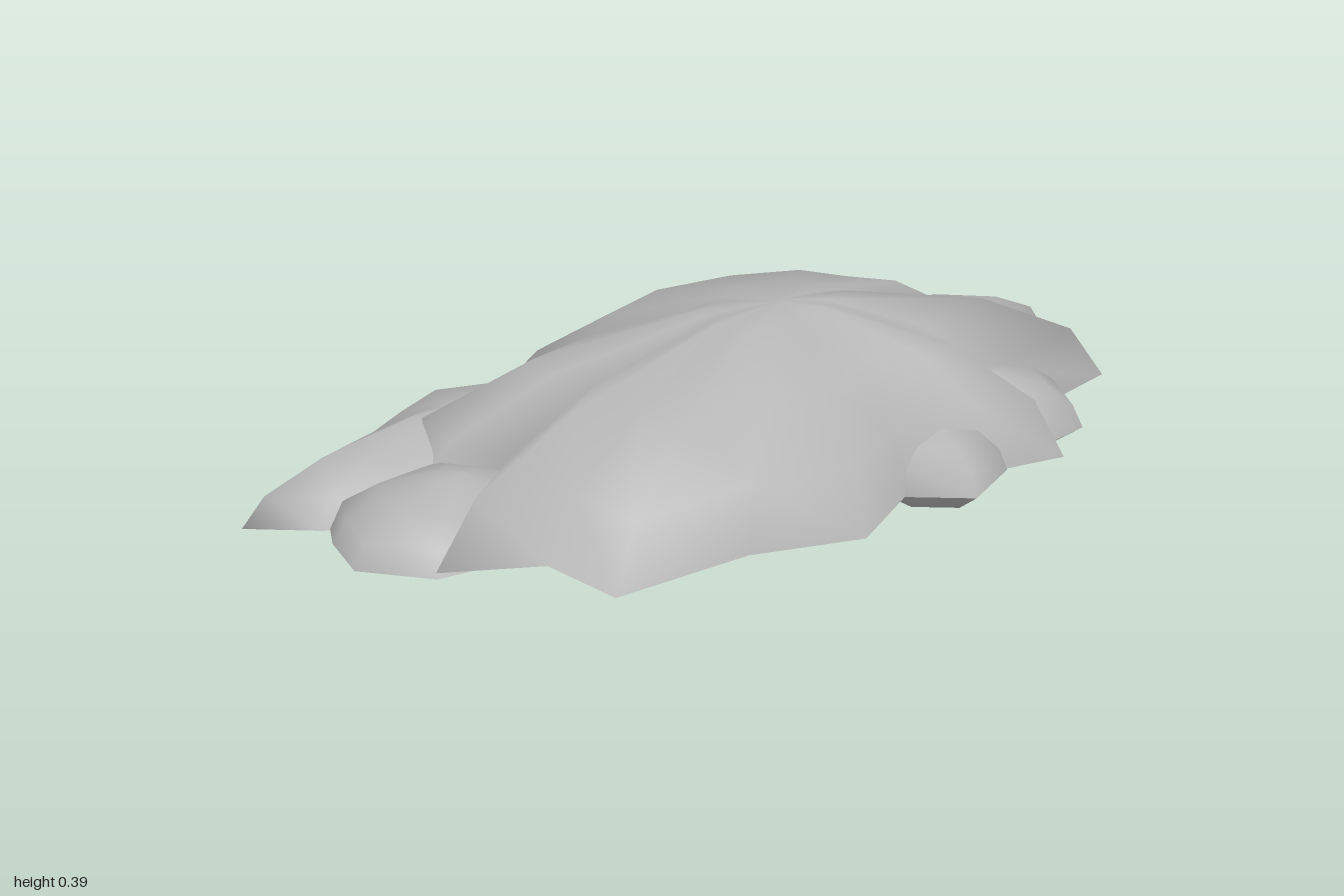
import * as THREE from 'three';

// Height profile shared by every lobe: [distance from centre, fraction of height]
const DOME = [[1, 0], [0.89, 0.4], [0.61, 0.75], [0.2, 0.985], [0, 1]];
// Shallow underside: [distance from centre, fraction of rim height]
const BELLY = [[1, 1], [0.68, 0.24], [0.35, 0.08], [0, 0]];

// Skin made of scaled copies of an outline, following a radial profile
function radialSkin(outline, [cx, cz], profile, heightAt, flip) {
  const pos = [], idx = [], n = outline.length;
  for (const [t, f] of profile) {
    for (const [x, z] of outline) pos.push(cx + (x - cx) * t, heightAt(f), cz + (z - cz) * t);
  }
  for (let r = 0; r < profile.length - 1; r++) {
    for (let i = 0; i < n; i++) {
      const j = (i + 1) % n;
      const a = r * n + i, b = r * n + j, c = a + n, d = b + n;
      const tris = r === profile.length - 2 ? [[a, c, b]] : [[a, c, d], [a, d, b]];
      for (const [p, q, s] of tris) idx.push(...(flip ? [p, s, q] : [p, q, s]));
    }
  }
  const g = new THREE.BufferGeometry();
  g.setAttribute('position', new THREE.Float32BufferAttribute(pos, 3));
  g.setIndex(idx);
  g.computeVertexNormals();
  return g;
}

// One rock lobe: domed top and shallow underside meeting at a sharp rim
function lobe(name, center, rim, base, top, outline, material) {
  const group = new THREE.Group();
  group.name = name;
  const dome = new THREE.Mesh(
    radialSkin(outline, center, DOME, f => rim + (top - rim) * f, false), material);
  dome.name = name + 'Top';
  const belly = new THREE.Mesh(
    radialSkin(outline, center, BELLY, f => base + (rim - base) * f, true), material);
  belly.name = name + 'Underside';
  group.add(dome, belly);
  return group;
}

export function createModel() {
  const model = new THREE.Group();
  model.name = 'rockMound';
  const stone = new THREE.MeshStandardMaterial({ color: 0xb4b4b4 });
  stone.name = 'grey stone';

  // Outlines are [x, z], clockwise seen from above
  const lobes = [
    ['mainMound', [0.15, 0.04], 0.067, 0, 0.39, [
      [0.02, -0.54], [0.32, -0.5], [0.56, -0.4], [0.67, -0.25], [0.79, -0.12],
      [0.57, 0.01], [0.95, 0.19], [0.62, 0.27], [0.6, 0.47], [0.46, 0.445],
      [0.2, 0.43], [0.02, 0.535], [-0.22, 0.46], [-0.54, 0.46], [-0.58, 0.27],
      [-0.78, 0.17], [-0.59, 0.02], [-0.68, -0.12], [-0.67, -0.27],
      [-0.4, -0.33], [-0.23, -0.455]]],
    ['backRightLobe', [-0.5, -0.25], 0.052, 0.012, 0.2, [
      [-0.41, -0.51], [-0.23, -0.455], [-0.2, -0.25], [-0.4, -0.05],
      [-0.7, -0.05], [-0.87, -0.15], [-1, -0.25], [-0.76, -0.33], [-0.6, -0.42]]],
    ['rightLobe', [-0.62, 0], 0.055, 0.012, 0.18, [
      [-0.6, -0.2], [-0.4, 0], [-0.55, 0.2], [-0.78, 0.175],
      [-0.9, 0.05], [-0.88, -0.08], [-0.84, -0.17]]],
    ['leftLobe', [0.58, -0.03], 0.073, 0.012, 0.24, [
      [0.5, -0.2], [0.71, -0.225], [0.82, -0.23], [1, -0.08],
      [0.81, 0.09], [0.6, 0.13], [0.4, 0]]],
    ['frontLeftLobe', [0.56, 0.24], 0.067, 0.01, 0.2, [
      [0.55, 0.08], [0.72, 0.15], [0.79, 0.23], [0.73, 0.38],
      [0.62, 0.4], [0.45, 0.4], [0.4, 0.2]]],
    ['frontLobe', [0.32, 0.35], 0.067, 0.008, 0.19, [
      [0.3, 0.2], [0.45, 0.3], [0.46, 0.45], [0.32, 0.52], [0.2, 0.43], [0.18, 0.3]]],
  ];
  for (const spec of lobes) model.add(lobe(...spec, stone));
  return model;
}
